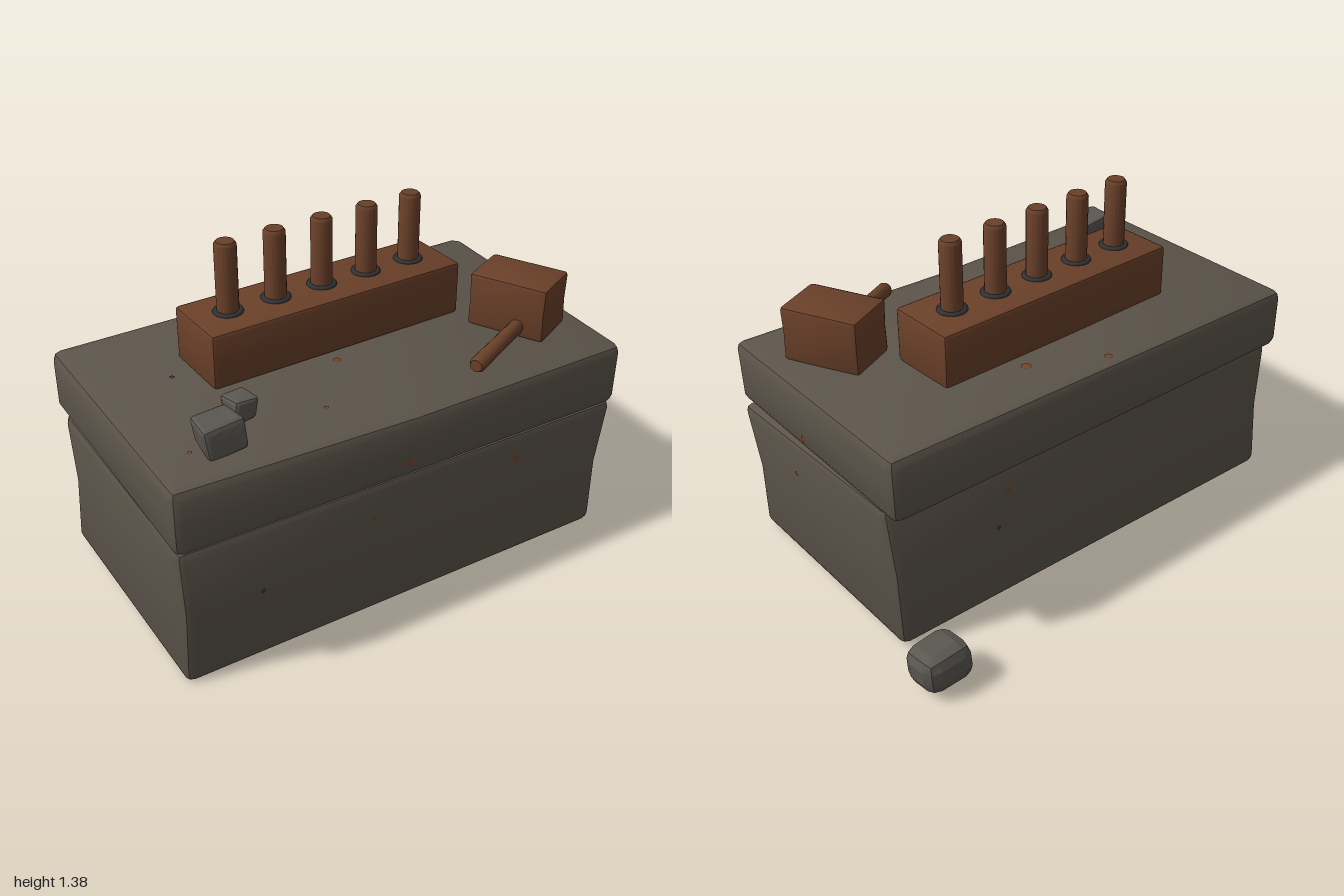
import * as THREE from 'three';
import { toCreasedNormals } from 'three/addons/utils/BufferGeometryUtils.js';

const mat = (name, color) => {
  const m = new THREE.MeshStandardMaterial({ color });
  m.name = name;
  return m;
};

// Eight corners of an upright box, ordered back to front, bottom to top, -x to +x
function boxCorners(x0, x1, y0, y1, z0, z1) {
  const out = [];
  for (const z of [z0, z1]) for (const y of [y0, y1]) for (const x of [x0, x1]) out.push([x, y, z]);
  return out;
}

// Block with rounded edges, stretched between eight corners.
// waist pinches the sides at mid height, dip lowers the middle of the front top edge.
function blockGeometry(corners, r, { waist = 0, dip = 0, crease = 0.5 } = {}) {
  const size = [0, 1, 2].map(k => Math.max(...corners.map(c => c[k])) - Math.min(...corners.map(c => c[k])));
  const geo = new THREE.BoxGeometry(1, 1, 1, 4, 4, 4);
  const pos = geo.attributes.position;
  for (let i = 0; i < pos.count; i++) {
    const inner = [], d = [];
    [pos.getX(i), pos.getY(i), pos.getZ(i)].forEach((t, k) => {
      const a = Math.abs(t), s = Math.sign(t), h = size[k] / 2;
      inner[k] = a < 0.1 ? 0 : s * (h - r);
      d[k] = a > 0.4 ? s : 0;
    });
    const len = Math.hypot(...d);
    const [u, v, w] = inner.map((c, k) => (c + d[k] / len * r) / size[k] + 0.5);
    const p = [0, 0, 0];
    corners.forEach((c, n) => {
      const f = (n & 1 ? u : 1 - u) * (n & 2 ? v : 1 - v) * (n & 4 ? w : 1 - w);
      for (let k = 0; k < 3; k++) p[k] += c[k] * f;
    });
    const pinch = 1 - waist * Math.sin(Math.PI * v);
    p[1] -= dip * Math.sin(Math.PI * u) * w * v;
    pos.setXYZ(i, p[0] * pinch, p[1], p[2] * pinch);
  }
  return toCreasedNormals(geo, crease);
}

export function createModel() {
  const model = new THREE.Group();
  model.name = 'stoneWorkbench';
  const stone = mat('stone', 0x5c544a);
  const wood = mat('wood', 0x6a4029);
  const iron = mat('darkIron', 0x2f3336);
  const rubble = mat('rubble', 0x5b5751);
  const rust = mat('rust', 0x7d4426);

  const add = (name, geo, material, parent = model) => {
    const m = new THREE.Mesh(geo, material);
    m.name = name;
    parent.add(m);
    return m;
  };

  // Stone base and overhanging slab
  const base = add('base', blockGeometry([
    [-0.96, 0.03, -0.45], [0.9, 0.03, -0.37], [-0.96, 0.63, -0.44], [0.925, 0.64, -0.34],
    [-0.97, 0, 0.53], [0.88, 0.02, 0.62], [-0.985, 0.61, 0.56], [0.91, 0.6, 0.63],
  ], 0.035, { waist: 0.015 }), stone);
  const slab = add('slab', blockGeometry([
    [-0.965, 0.64, -0.485], [0.94, 0.64, -0.43], [-0.965, 0.89, -0.485], [0.945, 0.905, -0.43],
    [-1, 0.615, 0.585], [0.895, 0.61, 0.655], [-1, 0.885, 0.585], [0.9, 0.87, 0.655],
  ], 0.04, { dip: 0.02 }), stone);

  // Wooden rack with five pegs, each in an iron collar
  add('rack', blockGeometry(boxCorners(-0.58, 0.52, 0.88, 1.1, -0.18, 0.11), 0.015), wood);
  const pegProfile = [[0, 0], [0.042, 0], [0.042, 0.278], [0.034, 0.29], [0, 0.29]]
    .map(p => new THREE.Vector2(...p));
  const pegGeo = toCreasedNormals(new THREE.LatheGeometry(pegProfile, 16), 0.6);
  const collarGeo = new THREE.TorusGeometry(0.047, 0.011, 8, 20).rotateX(Math.PI / 2);
  for (let i = 0; i < 5; i++) {
    const x = -0.435 + i * 0.202;
    add('peg', pegGeo, wood).position.set(x, 1.088, -0.035);
    add('collar', collarGeo, iron).position.set(x, 1.1, -0.035);
  }

  // Mallet lying on the slab
  const mallet = new THREE.Group();
  mallet.name = 'mallet';
  mallet.position.set(0.665, 0, 0.295);
  mallet.rotation.y = 0.435;
  model.add(mallet);
  add('malletHead', blockGeometry(boxCorners(-0.11, 0.11, 0.875, 1.095, -0.16, 0.16), 0.015,
    { waist: 0.02 }), wood, mallet);
  const handleProfile = [[0, 0], [0.024, 0], [0.031, 0.012], [0.029, 0.36], [0, 0.36]]
    .map(p => new THREE.Vector2(...p));
  const handle = add('malletHandle', toCreasedNormals(new THREE.LatheGeometry(handleProfile, 12), 0.6), wood, mallet);
  handle.rotation.z = -Math.PI / 2;
  handle.position.set(-0.462, 0.92, 0.05);

  // Loose rocks: rounded blocks with uneven corners
  let seed = 7;
  const rand = () => (seed = (seed * 16807) % 2147483647) / 2147483647 - 0.5;
  const rock = (name, x, y, z, sx, sy, sz, rough, round) => {
    const c = boxCorners(-sx, sx, -sy, sy, -sz, sz)
      .map(p => p.map((v, k) => v + rand() * rough * [sx, sy, sz][k]));
    add(name, blockGeometry(c, round * Math.min(sx, sy, sz), { crease: 0.35 }), rubble).position.set(x, y, z);
  };
  rock('fallenRock', 0.89, 0.11, -0.57, 0.097, 0.08, 0.082, 0.3, 0.65);
  rock('largePebble', -0.73, 0.935, 0.41, 0.075, 0.06, 0.067, 0.5, 0.3);
  rock('smallPebble', -0.585, 0.92, 0.295, 0.052, 0.048, 0.05, 0.7, 0.35);

  // Small flecks laid on the stone surfaces: start point, direction, radius
  model.updateMatrixWorld(true);
  const fleck = (from, dir, r, material) => {
    const ray = new THREE.Raycaster(new THREE.Vector3(...from), new THREE.Vector3(...dir));
    const hit = ray.intersectObjects([base, slab])[0];
    if (!hit) return;
    const n = hit.face.normal;
    const m = add('fleck', new THREE.CircleGeometry(r, 6), material);
    m.position.copy(hit.point).addScaledVector(n, 0.003);
    m.quaternion.setFromUnitVectors(new THREE.Vector3(0, 0, 1), n);
  };
  const down = [0, -1, 0], back = [0, 0, -1];
  for (const [x, z, r] of [[-0.06, -0.4, 0.017], [0.21, -0.25, 0.021], [-0.09, 0.16, 0.016],
    [-0.84, 0.41, 0.01], [-0.3, 0.41, 0.01]]) fleck([x, 2, z], down, r, rust);
  for (const [x, y, r] of [[-0.09, 0.68, 0.018], [-0.21, 0.46, 0.012], [0.44, 0.49, 0.017]])
    fleck([x, y, 2], back, r, rust);
  for (const [z, y, r] of [[0.16, 0.68, 0.016], [0.27, 0.46, 0.011]]) fleck([2, y, z], [-1, 0, 0], r, rust);
  fleck([0.4, 0.5, -2], [0, 0, 1], 0.012, rust);
  fleck([-0.66, 0.31, 2], back, 0.011, iron);
  fleck([-0.67, 2, -0.05], down, 0.01, iron);
  fleck([0.45, 0.35, -2], [0, 0, 1], 0.011, iron);

  return model;
}
